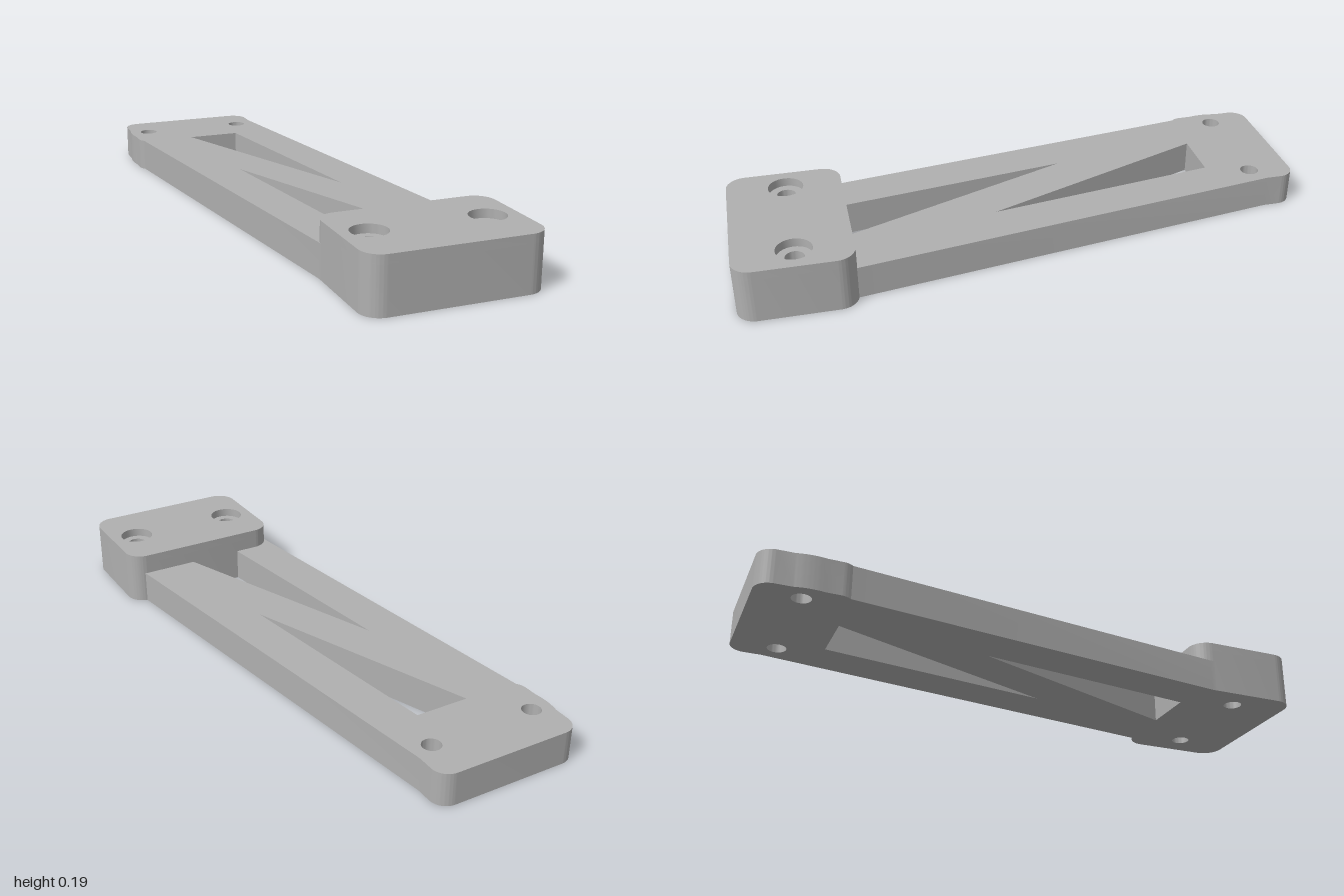
import * as THREE from 'three';
import { toCreasedNormals } from 'three/addons/utils/BufferGeometryUtils.js';

const ARM_H = 0.115, BLOCK_H = 0.187, SEAT_Y = 0.157;
const BORE_R = 0.032, SEAT_R = 0.06;

// Plans are drawn with (x, -z), then laid flat so that depth becomes height.
function slab(name, shape, y0, y1, material) {
  const geo = new THREE.ExtrudeGeometry(shape, { depth: y1 - y0, bevelEnabled: false, curveSegments: 16 });
  geo.rotateX(-Math.PI / 2);
  geo.translate(0, y0, 0);
  const mesh = new THREE.Mesh(toCreasedNormals(geo, 0.6), material);
  mesh.name = name;
  return mesh;
}

function addHoles(shape, xs, z, r) {
  for (const x of xs) {
    const hole = new THREE.Path();
    hole.absarc(x, -z, r, 0, Math.PI * 2, true);
    shape.holes.push(hole);
  }
}

// Rounded rectangle plan of the mounting block
function blockPlan(holeR) {
  const x0 = -0.19, x1 = 0.396, y0 = -1, y1 = -0.61, r = 0.065;
  const s = new THREE.Shape();
  s.absarc(x1 - r, y0 + r, r, -Math.PI / 2, 0);
  s.absarc(x1 - r, y1 - r, r, 0, Math.PI / 2);
  s.absarc(x0 + r, y1 - r, r, Math.PI / 2, Math.PI);
  s.absarc(x0 + r, y0 + r, r, Math.PI, Math.PI * 1.5);
  s.closePath();
  addHoles(s, [-0.093, 0.297], 0.8, holeR);
  return s;
}

// Slanted arm with the thin end plate; the lower notch opens against the block
function armPlan() {
  const s = new THREE.Shape();
  s.moveTo(0.345, -0.612);
  s.lineTo(0.122, 0.89);
  s.lineTo(0.122, 0.945);
  s.absarc(0.067, 0.945, 0.055, 0, Math.PI / 2);
  s.absarc(-0.335, 0.945, 0.055, Math.PI / 2, Math.PI);
  s.lineTo(-0.39, 0.89);
  s.quadraticCurveTo(-0.402, 0.84, -0.392, 0.79); // slight swell beside the bore
  s.lineTo(-0.391, 0.74);
  s.quadraticCurveTo(-0.388, 0.72, -0.378, 0.71);
  s.lineTo(-0.19, -0.66);
  s.lineTo(-0.19, -0.675);
  s.absarc(-0.125, -0.675, 0.065, Math.PI, Math.PI / 2, true);
  s.lineTo(-0.045, -0.61);
  s.lineTo(-0.155, 0.185);
  s.lineTo(0.145, -0.61);
  s.lineTo(0.33, -0.61);
  s.closePath();

  // Triangular window behind the diagonal brace
  const win = new THREE.Path();
  win.moveTo(-0.187, 0.7);
  win.lineTo(0, 0.7);
  win.lineTo(0.12, -0.11);
  win.closePath();
  s.holes.push(win);
  addHoles(s, [-0.325, 0.053], -0.85, BORE_R);
  return s;
}

export function createModel() {
  const grey = new THREE.MeshStandardMaterial({ color: 0xb0b0b0 });
  grey.name = 'grey';

  const model = new THREE.Group();
  model.name = 'bracket';
  model.add(slab('bracedArm', armPlan(), 0, ARM_H, grey));

  // Block in two layers: narrow bores below, wide screw seats above
  const block = new THREE.Group();
  block.name = 'mountingBlock';
  block.add(slab('blockBody', blockPlan(BORE_R), 0, SEAT_Y, grey));
  block.add(slab('blockScrewSeats', blockPlan(SEAT_R), SEAT_Y, BLOCK_H, grey));
  model.add(block);
  return model;
}
